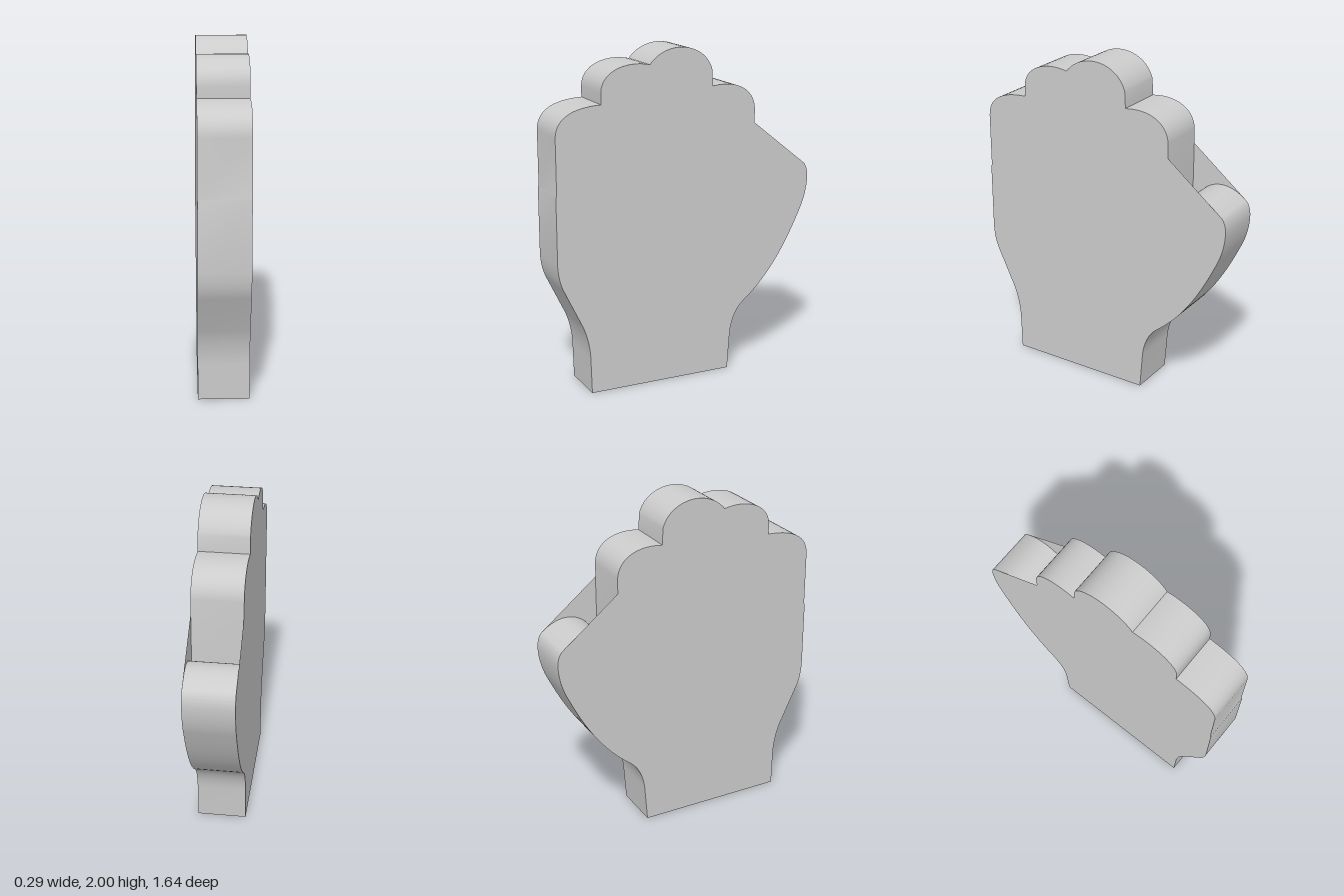
import * as THREE from 'three';
import { toCreasedNormals } from 'three/addons/utils/BufferGeometryUtils.js';

const THICKNESS = 0.294;

export function createModel() {
  const group = new THREE.Group();
  group.name = 'raisedFist';
  const material = new THREE.MeshStandardMaterial({ color: 0xcccccc, side: THREE.DoubleSide });

  // Side outline: shape x runs towards the back (-z), shape y is up
  const s = new THREE.Shape();
  s.moveTo(-0.625, 0);
  s.lineTo(0.272, 0);
  // back of the wrist and heel of the thumb
  s.lineTo(0.288, 0.22);
  s.bezierCurveTo(0.295, 0.3, 0.325, 0.37, 0.375, 0.415);
  s.bezierCurveTo(0.54, 0.545, 0.65, 0.7, 0.765, 0.95);
  s.bezierCurveTo(0.8, 1.02, 0.817, 1.1, 0.817, 1.16);
  s.bezierCurveTo(0.817, 1.2, 0.805, 1.235, 0.785, 1.25);
  // thumb arch, curling down into the notch
  s.bezierCurveTo(0.7, 1.315, 0.63, 1.32, 0.57, 1.297);
  s.bezierCurveTo(0.49, 1.265, 0.445, 1.18, 0.44, 1.08);
  // index finger
  s.lineTo(0.44, 1.61);
  s.bezierCurveTo(0.435, 1.72, 0.33, 1.79, 0.16, 1.763);
  // middle finger
  s.lineTo(0.155, 1.86);
  s.bezierCurveTo(0.13, 1.95, 0.04, 2, -0.05, 2);
  s.bezierCurveTo(-0.13, 2, -0.2, 1.965, -0.24, 1.912);
  // ring finger
  s.bezierCurveTo(-0.37, 1.945, -0.54, 1.9, -0.54, 1.77);
  s.lineTo(-0.54, 1.708);
  // little finger and front edge of the palm
  s.bezierCurveTo(-0.7, 1.705, -0.812, 1.66, -0.815, 1.54);
  s.lineTo(-0.815, 1.22);
  s.lineTo(-0.82, 1.2);
  s.lineTo(-0.82, 0.8);
  s.bezierCurveTo(-0.815, 0.72, -0.8, 0.68, -0.78, 0.64);
  s.lineTo(-0.675, 0.42);
  s.bezierCurveTo(-0.645, 0.35, -0.63, 0.27, -0.63, 0.2);
  s.lineTo(-0.625, 0);

  const fistGeometry = new THREE.ExtrudeGeometry(s, {
    depth: THICKNESS, bevelEnabled: false, curveSegments: 14,
  });
  fistGeometry.translate(0, 0, -THICKNESS / 2).rotateY(Math.PI / 2);
  const fist = new THREE.Mesh(toCreasedNormals(fistGeometry, 0.5), material);
  fist.name = 'fist';
  group.add(fist);

  // Thin webs closing the notch between thumb and index finger on both sides
  const web = new THREE.Shape();
  web.moveTo(0.44, 1.08);
  web.bezierCurveTo(0.445, 1.18, 0.49, 1.265, 0.57, 1.297);
  web.bezierCurveTo(0.63, 1.32, 0.7, 1.315, 0.785, 1.25);
  web.lineTo(0.44, 1.525);
  web.closePath();
  for (const side of [1, -1]) {
    const geometry = new THREE.ShapeGeometry(web, 14);
    if (side < 0) { // reverse the winding so the far web faces outwards
      geometry.index.array.reverse();
      geometry.computeVertexNormals();
    }
    geometry.translate(0, 0, side * THICKNESS / 2).rotateY(Math.PI / 2);
    const mesh = new THREE.Mesh(geometry, material);
    mesh.name = side > 0 ? 'leftThumbWeb' : 'rightThumbWeb';
    group.add(mesh);
  }
  return group;
}
